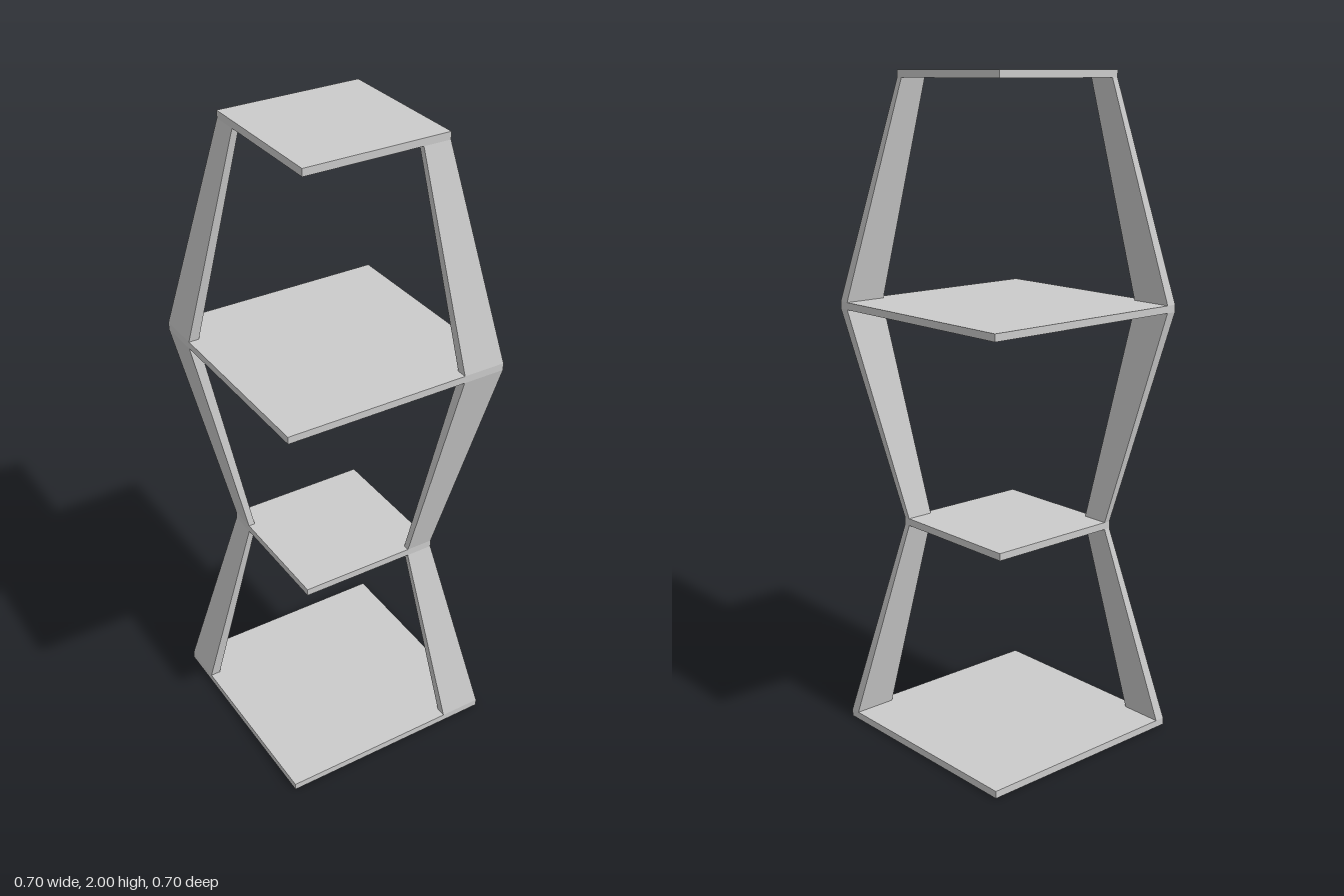
import * as THREE from 'three';

const WIDE = 0.348, NARROW = 0.221, THICK = 0.022;
// underside height and half-width of each shelf
const SHELVES = [
  { name: 'bottomShelf', y: 0, half: WIDE },
  { name: 'lowerShelf', y: 0.645, half: NARROW },
  { name: 'upperShelf', y: 1.312, half: WIDE },
  { name: 'topShelf', y: 2 - THICK, half: NARROW },
];
// post section as fractions of the shelf half-width
const BROAD = 0.62, THIN = 0.908;

// Tapered post filling one shelf corner, leaning with the shelf sizes
function postGeometry(y0, h0, y1, h1, innerX, innerZ, sign) {
  const geo = new THREE.BoxGeometry(1, 1, 1);
  const p = geo.attributes.position;
  for (let i = 0; i < p.count; i++) {
    const top = p.getY(i) > 0;
    const h = (top ? h1 : h0) * sign;
    p.setXYZ(i,
      h * (p.getX(i) * sign > 0 ? 1 : innerX),
      top ? y1 : y0,
      h * (p.getZ(i) * sign > 0 ? 1 : innerZ));
  }
  geo.computeVertexNormals();
  return geo;
}

export function createModel() {
  const group = new THREE.Group();
  group.name = 'shelfTower';
  const material = new THREE.MeshStandardMaterial({ color: 0xcccccc });
  const add = (geo, name) => {
    const mesh = new THREE.Mesh(geo, material);
    mesh.name = name;
    group.add(mesh);
    return mesh;
  };

  // Square shelves, alternating wide and narrow
  for (const s of SHELVES) {
    add(new THREE.BoxGeometry(2 * s.half, THICK, 2 * s.half), s.name)
      .position.y = s.y + THICK / 2;
  }

  // Posts at two opposite corners: broad along x in front, along z at the back
  for (let i = 0; i < SHELVES.length - 1; i++) {
    const a = SHELVES[i], b = SHELVES[i + 1];
    const span = [a.y + THICK, a.half, b.y, b.half];
    add(postGeometry(...span, BROAD, THIN, 1), `frontPost${i + 1}`);
    add(postGeometry(...span, THIN, BROAD, -1), `backPost${i + 1}`);
  }
  return group;
}
